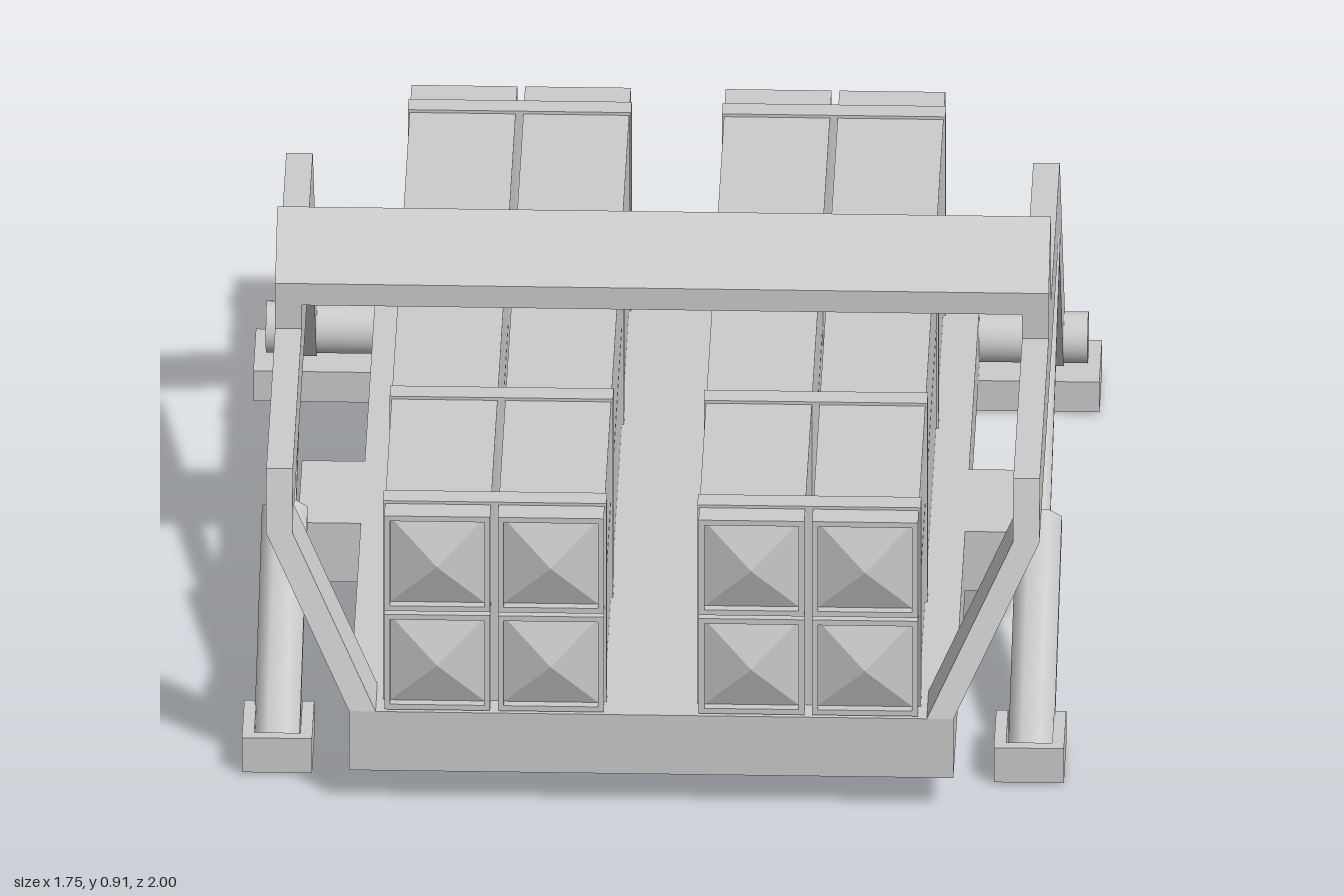
import * as THREE from 'three';

const mat = new THREE.MeshStandardMaterial({ color: 0xcccccc });

export function createModel() {
  const root = new THREE.Group();

  const add = (name, geo, x = 0, y = 0, z = 0) => {
    const m = new THREE.Mesh(geo, mat);
    m.name = name;
    m.position.set(x, y, z);
    root.add(m);
    return m;
  };
  // box given by its min and max on each axis
  const box = (name, x0, x1, y0, y1, z0, z1) =>
    add(name, new THREE.BoxGeometry(Math.abs(x1 - x0), y1 - y0, z1 - z0),
      (x0 + x1) / 2, (y0 + y1) / 2, (z0 + z1) / 2);
  // side profile in (z, y), extruded between two x values
  const prism = (name, shape, xa, xb) => {
    const geo = new THREE.ExtrudeGeometry(shape, { depth: Math.abs(xb - xa), bevelEnabled: false, curveSegments: 12 });
    geo.rotateY(-Math.PI / 2);
    return add(name, geo, Math.max(xa, xb));
  };
  const poly = (pts) => new THREE.Shape(pts.map(([a, b]) => new THREE.Vector2(a, b)));
  // eight-sided strut between two (z, y) points
  const strut = (name, x, [z0, y0], [z1, y1], rx, ry) => {
    const geo = new THREE.CylinderGeometry(1, 1, 1, 8, 1, false, Math.PI / 8);
    geo.scale(rx, Math.hypot(z1 - z0, y1 - y0), ry);
    geo.rotateX(Math.atan2(z1 - z0, y1 - y0));
    return add(name, geo, x, (y0 + y1) / 2, (z0 + z1) / 2);
  };

  // platform and rear base plate
  box('platform', -0.625, 0.625, 0.083, 0.22, -0.955, 0.985);
  box('rearBasePlate', -0.875, 0.875, 0.01, 0.08, -1, -0.81);

  // side profile of the lifting arm, rounded around the pivot
  const armShape = new THREE.Shape();
  armShape.moveTo(0.882, 0.58);
  armShape.lineTo(0.845, 0.71);
  armShape.lineTo(-0.575, 0.71);
  armShape.absarc(-0.885, 0.145, 0.06, 2.55, 5.69, false);
  armShape.lineTo(-0.51, 0.58);
  armShape.closePath();

  for (const s of [1, -1]) {
    box('sideWing', s * 0.625, s * 0.755, 0.083, 0.22, -0.14, 0.14);
    const pivot = new THREE.CylinderGeometry(0.054, 0.054, 0.23, 20);
    pivot.rotateZ(Math.PI / 2);
    add('pivotPin', pivot, s * 0.735, 0.145, -0.885);
    prism('liftArm', armShape, s * 0.745, s * 0.80);

    // front leg leaning inward and forward
    const leg = new THREE.BoxGeometry(0.055, 0.36, 0.125);
    const p = leg.attributes.position;
    for (let i = 0; i < p.count; i++) {
      const t = p.getY(i) / 0.36;
      p.setX(i, p.getX(i) + s * 0.175 * t);
      p.setZ(i, p.getZ(i) - 0.103 * t);
    }
    leg.computeVertexNormals();
    add('frontLeg', leg, s * 0.685, 0.4, 0.871);

    prism('crossbarBracket', poly([[0.215, 0.71], [0.215, 0.815], [0.062, 0.915], [0.062, 0.71]]), s * 0.745, s * 0.80);

    // hydraulic ram with its open foot bracket
    strut('ramCylinder', s * 0.78, [0.79, 0.04], [0.21, 0.284], 0.051, 0.04);
    strut('ramRod', s * 0.78, [0.22, 0.28], [-0.51, 0.575], 0.025, 0.022);
    box('footOuterWall', s * 0.825, s * 0.85, 0.01, 0.09, 0.69, 0.86);
    box('footInnerWall', s * 0.705, s * 0.73, 0.01, 0.09, 0.69, 0.86);
    box('footFrontWall', s * 0.73, s * 0.825, 0.01, 0.09, 0.835, 0.86);
  }

  // sloping crossbar
  prism('crossbar', poly([[0.215, 0.765], [0.215, 0.815], [0.062, 0.915], [0.062, 0.865]]), -0.745, 0.745);

  // rim closing each end of a container
  const W = 0.219, H = 0.221;
  const rimShape = poly([[-W / 2, -H / 2], [W / 2, -H / 2], [W / 2, H / 2], [-W / 2, H / 2]]);
  const a = W / 2 - 0.012, b = H / 2 - 0.012;
  rimShape.holes.push(new THREE.Path([[-a, -b], [-a, b], [a, b], [a, -b]].map(([u, v]) => new THREE.Vector2(u, v))));
  const rim = new THREE.ExtrudeGeometry(rimShape, { depth: 0.02, bevelEnabled: false });

  // shallow pyramid cover
  const cover = new THREE.ConeGeometry(Math.SQRT2, 0.035, 4, 1, false, Math.PI / 4).toNonIndexed();
  cover.rotateX(Math.PI / 2);
  cover.scale(a, b, 1);
  cover.computeVertexNormals();

  // two stacks of four containers
  for (const s of [1, -1]) {
    const cx = s * 0.325;
    for (const dx of [-0.1175, 0.1175]) {
      for (const y of [0.336, 0.565]) {
        const x = cx + dx;
        box('container', x - W / 2, x + W / 2, y - H / 2, y + H / 2, -0.935, 0.965);
        add('frontRim', rim, x, y, 0.965);
        add('rearRim', rim, x, y, -0.955);
        add('frontCover', cover, x, y, 0.9825);
      }
    }
    for (const z of [-0.855, -0.345, 0.435, 0.905])
      box('strap', cx - 0.231, cx + 0.231, 0.22, 0.682, z - 0.024, z + 0.024);
  }
  return root;
}
